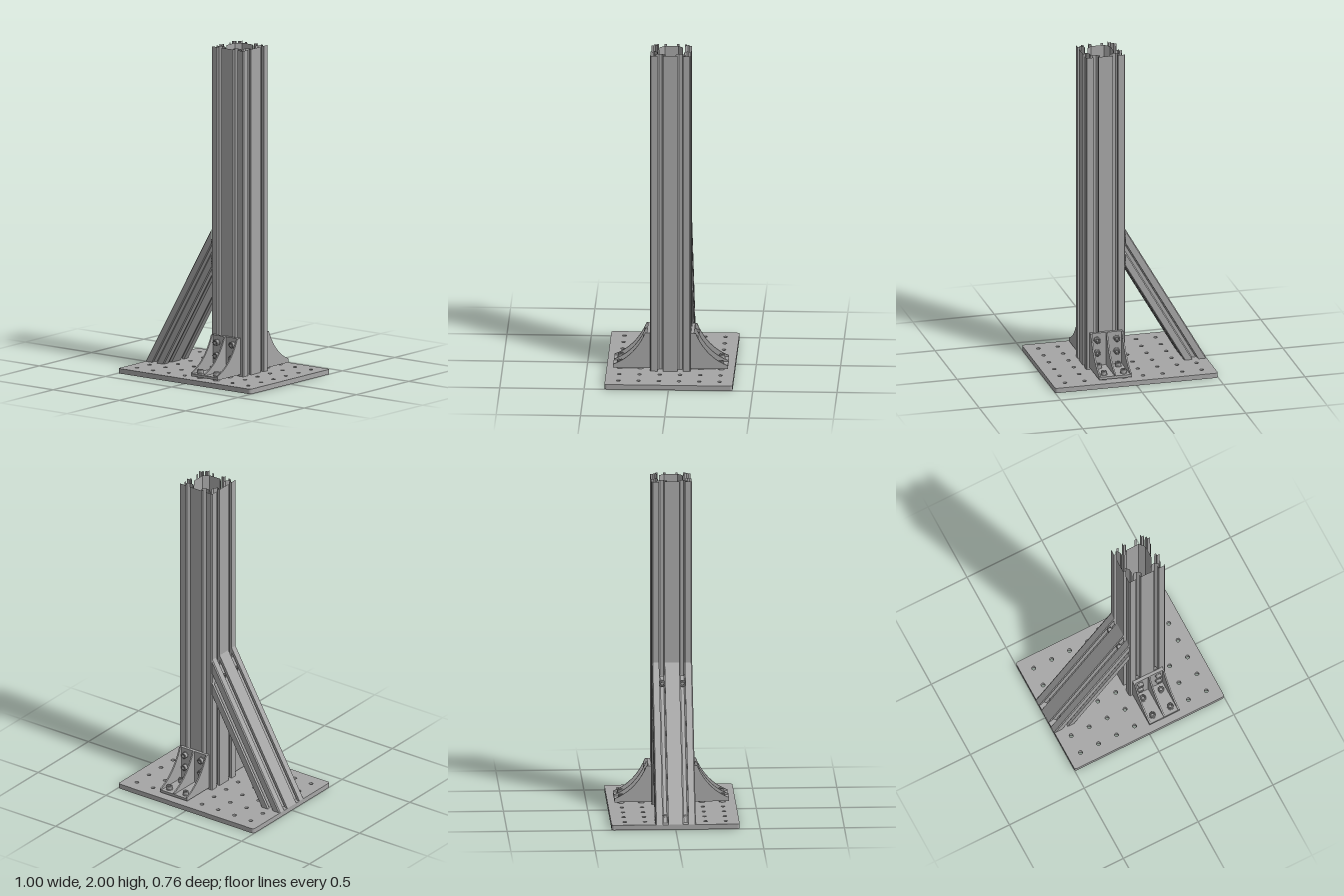
import * as THREE from 'three';

const CELL = 0.12; // slot pitch of the extrusions
const PLATE = 0.03; // base plate thickness

export function createModel() {
  const model = new THREE.Group();
  const grey = new THREE.MeshStandardMaterial({ color: 0xa6a6a6 });
  grey.name = 'aluminium grey';

  function add(parent, name, geometry, x = 0, y = 0, z = 0) {
    const mesh = new THREE.Mesh(geometry, grey);
    mesh.name = name;
    mesh.position.set(x, y, z);
    parent.add(mesh);
    return mesh;
  }

  // Slotted profile outline, nx by ny cells, centred on the origin
  const slot = [[-0.0165, 0], [-0.0165, 0.016], [-0.03, 0.016], [-0.03, 0.024], [-0.01, 0.04],
    [0.01, 0.04], [0.03, 0.024], [0.03, 0.016], [0.0165, 0.016], [0.0165, 0]];
  function profileShape(nx, ny) {
    const points = [];
    const chamfer = 0.006;
    for (let side = 0; side < 4; side++) {
      const count = side % 2 ? ny : nx;
      const along = count * CELL / 2;
      const out = (side % 2 ? nx : ny) * CELL / 2;
      const put = (s, d) => points.push(
        new THREE.Vector2(s, d - out).rotateAround(new THREE.Vector2(), side * Math.PI / 2));
      put(chamfer - along, 0);
      for (let i = 0; i < count; i++) {
        for (const [s, d] of slot) put((i + 0.5) * CELL - along + s, d);
      }
      put(along - chamfer, 0);
    }
    return new THREE.Shape(points);
  }

  // Walls of an extruded shape, with both ends left open
  function openExtrusion(shape, depth) {
    const full = new THREE.ExtrudeGeometry(shape, { depth, bevelEnabled: false });
    const { start, count } = full.groups[1];
    const geometry = new THREE.BufferGeometry();
    for (const key of ['position', 'normal']) {
      const data = full.attributes[key].array.slice(start * 3, (start + count) * 3);
      geometry.setAttribute(key, new THREE.BufferAttribute(data, 3));
    }
    return geometry;
  }

  // Drilled base plate with rounded corners
  const w = 0.5, h = 0.38, r = 0.015;
  const plate = new THREE.Shape();
  plate.absarc(w - r, h - r, r, 0, Math.PI / 2);
  plate.absarc(r - w, h - r, r, Math.PI / 2, Math.PI);
  plate.absarc(r - w, r - h, r, Math.PI, Math.PI * 1.5);
  plate.absarc(w - r, r - h, r, Math.PI * 1.5, Math.PI * 2);
  for (let i = 0; i < 8; i++) {
    for (let j = 0; j < 6; j++) {
      const hole = new THREE.Path();
      hole.absarc((i - 3.5) * CELL, (j - 2.5) * CELL, 0.012, 0, Math.PI * 2, true);
      plate.holes.push(hole);
    }
  }
  add(model, 'basePlate', new THREE.ExtrudeGeometry(plate,
    { depth: PLATE, bevelEnabled: false, curveSegments: 8 }).rotateX(-Math.PI / 2));

  // Hollow upright column
  const columnShape = profileShape(2, 2);
  const a = 0.07, b = 0.04;
  columnShape.holes.push(new THREE.Path([[a, b], [b, a], [-b, a], [-a, b], [-a, -b], [-b, -a], [b, -a], [a, -b]]
    .map(([x, y]) => new THREE.Vector2(x, y))));
  add(model, 'column', openExtrusion(columnShape, 2 - PLATE).rotateX(-Math.PI / 2), CELL, PLATE, 0);

  // Diagonal brace: mitred to the plate below and the column above
  const brace = openExtrusion(profileShape(1, 2), 1);
  const p = brace.attributes.position;
  const sin = Math.sin(Math.PI / 3), cos = 0.5;
  for (let i = 0; i < p.count; i++) {
    const u = p.getX(i) + CELL / 2;
    const t = p.getZ(i) > 0.5 ? (0.5 - sin * u) / cos : cos * u / sin;
    p.setXYZ(i, -0.5 + u * sin + t * cos, PLATE - u * cos + t * sin, -p.getY(i));
  }
  // keep the outline facing outwards after remapping its axes
  const edge = new THREE.Vector3(), other = new THREE.Vector3();
  const axes = new THREE.Matrix4().makeBasis(
    new THREE.Vector3(sin, -cos, 0), new THREE.Vector3(0, 0, -1), new THREE.Vector3(cos, sin, 0));
  if (axes.determinant() < 0) {
    for (let i = 0; i < p.count; i += 3) {
      edge.fromBufferAttribute(p, i + 1);
      other.fromBufferAttribute(p, i + 2);
      p.setXYZ(i + 1, other.x, other.y, other.z);
      p.setXYZ(i + 2, edge.x, edge.y, edge.z);
    }
  }
  brace.computeVertexNormals();
  add(model, 'brace', brace);

  // Socket-head bolt along +y, its head seated at the origin
  const lathe = (points, sides) => new THREE.LatheGeometry(
    points.map(([x, y]) => new THREE.Vector2(x, y)), sides).toNonIndexed();
  function flat(geometry) {
    geometry.computeVertexNormals();
    return geometry;
  }
  const washerGeo = new THREE.CylinderGeometry(0.02, 0.02, 0.004, 20).translate(0, 0.002, 0);
  const headGeo = flat(lathe([[0, 0.004], [0.0175, 0.004], [0.0175, 0.022], [0.0155, 0.024], [0.01, 0.024]], 20));
  const socketGeo = flat(lathe([[0.01, 0.024], [0.009, 0.012], [0, 0.012]], 6));
  const nutGeo = new THREE.CylinderGeometry(0.022, 0.014, 0.02, 4, 1, false, Math.PI / 4);
  function bolt(parent, x, y, z, length, withNut) {
    const group = new THREE.Group();
    group.name = 'bolt';
    group.position.set(x, y, z);
    add(group, 'washer', washerGeo);
    add(group, 'boltHead', headGeo);
    add(group, 'hexSocket', socketGeo);
    add(group, 'boltShank', new THREE.CylinderGeometry(0.01, 0.01, length, 12), 0, -length / 2, 0);
    if (withNut) add(group, 'slotNut', nutGeo, 0, -length + 0.008, 0);
    parent.add(group);
    return group;
  }

  // Gusset brackets on the front and back of the column
  const rib = new THREE.Shape();
  rib.moveTo(0.12, 0.042);
  rib.lineTo(0.34, 0.042);
  rib.lineTo(0.34, 0.064);
  rib.quadraticCurveTo(0.21, 0.115, 0.15, 0.262);
  rib.lineTo(0.12, 0.262);
  rib.closePath();
  const ribGeo = new THREE.ExtrudeGeometry(rib, { depth: 0.009, bevelEnabled: false, curveSegments: 10 })
    .rotateY(-Math.PI / 2).translate(0.0045, 0, 0);
  for (const turn of [0, Math.PI]) {
    const bracket = new THREE.Group();
    bracket.name = turn ? 'backBracket' : 'frontBracket';
    bracket.position.x = CELL;
    bracket.rotation.y = turn;
    add(bracket, 'bracketWall', new THREE.BoxGeometry(0.2, 0.22, 0.019), 0, 0.152, 0.1305);
    add(bracket, 'bracketFoot', new THREE.BoxGeometry(0.2, 0.016, 0.22), 0, 0.05, 0.23);
    for (const x of [-0.0955, 0, 0.0955]) add(bracket, 'bracketRib', ribGeo, x);
    for (const x of [-0.06, 0.06]) {
      for (const z of [0.18, 0.3]) {
        bolt(bracket, x, 0.058, z, 0.05, false);
        add(bracket, 'spacer', new THREE.CylinderGeometry(0.02, 0.02, 0.014, 20), x, 0.036, z);
      }
      for (const y of [0.14, 0.22]) bolt(bracket, x, y, 0.14, 0.05, true).rotation.x = Math.PI / 2;
    }
    model.add(bracket);
  }

  // Bolts holding the brace to the plate and to the column
  for (const z of [-0.06, 0.06]) {
    bolt(model, -0.42, 0.05, z, 0.04, false);
    bolt(model, -0.025, 0.776, z, 0.07, true).rotation.z = Math.PI / 2;
  }
  return model;
}
